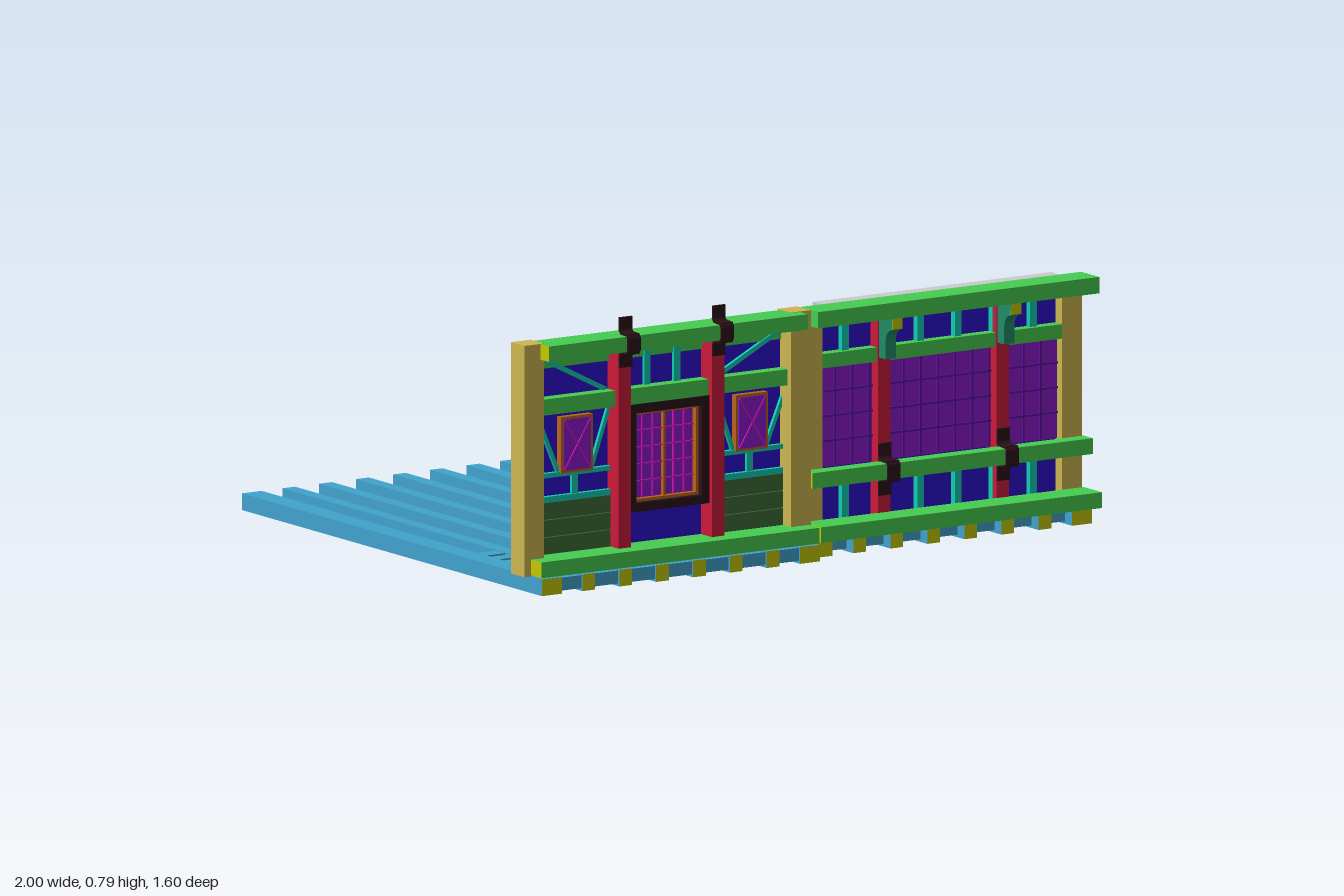
import * as THREE from 'three';
import { RoundedBoxGeometry } from 'three/addons/geometries/RoundedBoxGeometry.js';

const mat = (color) => new THREE.MeshStandardMaterial({ color });
const M = {
  floor: mat(0x41a3cc), end: mat(0xc4c800), green: mat(0x45cc50), tan: mat(0xccb650),
  wall: mat(0x2a0dcc), red: mat(0xcc1a3a), teal: mat(0x10ccb0), brace: mat(0x208c68),
  iron: mat(0x2a1018), pane: mat(0x8a1acc), muntin: mat(0x5c1099), magenta: mat(0xcc10c0),
  orange: mat(0xb8641a), siding: mat(0x3d6b35), grey: mat(0xcccccc),
};
const xEnds = [M.end, M.end, M.green, M.green, M.green, M.green];
const zEnds = [M.floor, M.floor, M.floor, M.floor, M.end, M.end];

export function createModel() {
  const root = new THREE.Group();
  let g = root;

  const section = (name) => {
    g = new THREE.Group();
    g.name = name;
    root.add(g);
  };
  // Box given by its limits on each axis
  const box = (name, m, x0, x1, y0, y1, z0, z1) => {
    const b = new THREE.Mesh(new THREE.BoxGeometry(x1 - x0, y1 - y0, z1 - z0), m);
    b.position.set((x0 + x1) / 2, (y0 + y1) / 2, (z0 + z1) / 2);
    b.name = name;
    g.add(b);
    return b;
  };
  // Slanted bar lying in the wall plane
  const bar = (name, m, xa, ya, xb, yb, w, z0, z1) => {
    const len = Math.hypot(xb - xa, yb - ya);
    const b = new THREE.Mesh(new THREE.BoxGeometry(len, w, z1 - z0), m);
    b.position.set((xa + xb) / 2, (ya + yb) / 2, (z0 + z1) / 2);
    b.rotation.z = Math.atan2(yb - ya, xb - xa);
    b.name = name;
    g.add(b);
  };
  // Iron strap bent along [z, y] points
  const strap = (cx, w, pts) => {
    for (let i = 0; i < pts.length - 1; i++) {
      const [za, ya] = pts[i], [zb, yb] = pts[i + 1];
      const len = Math.hypot(zb - za, yb - ya) + 0.006;
      const b = new THREE.Mesh(new THREE.BoxGeometry(w, 0.006, len), M.iron);
      b.position.set(cx, (ya + yb) / 2, (za + zb) / 2);
      b.rotation.x = -Math.atan2(yb - ya, zb - za);
      b.name = 'ironStrap';
      g.add(b);
    }
  };
  // Rounded bulge on the inner side of a window
  const bulge = (x0, x1, y0, y1, z0, z1) => {
    const b = new THREE.Mesh(new RoundedBoxGeometry(x1 - x0, y1 - y0, z1 - z0, 5, 0.045), M.wall);
    b.position.set((x0 + x1) / 2, (y0 + y1) / 2, (z0 + z1) / 2);
    b.name = 'windowBulge';
    g.add(b);
  };
  // Evenly spaced muntins over a window opening
  const muntins = (m, x0, x1, y0, y1, nx, ny, z, t) => {
    for (let i = 1; i < nx; i++) {
      const x = x0 + ((x1 - x0) * i) / nx;
      box('muntin', m, x - t, x + t, y0, y1, z, z + 0.006);
    }
    for (let j = 1; j < ny; j++) {
      const y = y0 + ((y1 - y0) * j) / ny;
      box('muntin', m, x0, x1, y - t, y + t, z, z + 0.006);
    }
  };

  // Floor: long joists crossed by slats near the walls
  const floorHalf = (name, x0, x1, zFront, zSlat, pitch) => {
    section(name);
    const a = x0 + 0.035, step = (x1 - x0 - 0.07) / 7;
    for (let i = 0; i < 8; i++) {
      const c = a + i * step, w = i % 7 === 0 ? 0.035 : 0.0225;
      box('joist', zEnds, c - w, c + w, 0, 0.05, -0.8, zFront);
    }
    for (let z = zSlat; z < zFront - 0.03; z += pitch)
      box('slat', M.floor, x0 + 0.04, x1 - 0.04, 0.008, 0.047, z, Math.min(z + pitch - 0.022, zFront - 0.006));
  };
  floorHalf('leftFloor', -0.976, 0.003, 0.8, 0.34, 0.069);
  floorHalf('rightFloor', 0.012, 0.995, 0.748, 0.293, 0.0735);

  // Wall with door-like central window, at -x
  section('timberWall');
  const C = -0.482;
  box('wallPanel', M.wall, -0.94, -0.05, 0.06, 0.7, 0.672, 0.684);
  for (const x of [-1, -0.061]) box('cornerPost', M.tan, x, x + 0.07, 0.05, 0.742, 0.67, 0.742);
  box('topBeam', xEnds, -0.942, -0.03, 0.695, 0.741, 0.685, 0.785);
  box('topInnerBeam', M.green, -0.93, -0.06, 0.655, 0.695, 0.648, 0.69);
  box('bottomBeam', xEnds, -0.976, 0.003, 0.053, 0.1, 0.7, 0.797);
  box('bottomInnerBeam', M.green, -0.93, -0.04, 0.05, 0.1, 0.645, 0.7);
  box('middleBeam', M.green, -0.93, -0.06, 0.522, 0.57, 0.648, 0.725);
  for (const x of [-0.535, -0.43]) box('topStud', M.teal, x - 0.011, x + 0.011, 0.57, 0.695, 0.665, 0.695);

  // Central window
  box('windowFrameTop', M.iron, C - 0.142, C + 0.142, 0.495, 0.522, 0.665, 0.73);
  box('windowFrameBottom', M.iron, C - 0.142, C + 0.142, 0.2, 0.226, 0.665, 0.73);
  box('windowPane', M.pane, C - 0.12, C + 0.12, 0.22, 0.5, 0.68, 0.694);
  box('sashTop', M.orange, C - 0.115, C + 0.115, 0.487, 0.496, 0.69, 0.712);
  box('sashBottom', M.orange, C - 0.115, C + 0.115, 0.226, 0.235, 0.69, 0.712);
  box('sashMiddle', M.orange, C - 0.004, C + 0.004, 0.23, 0.49, 0.69, 0.705);
  muntins(M.magenta, C - 0.11, C + 0.11, 0.235, 0.487, 6, 5, 0.694, 0.002);
  bulge(C - 0.103, C + 0.103, 0.215, 0.5, 0.58, 0.678);

  for (const s of [-1, 1]) {
    const X = (d) => C + s * d;
    const side = (name, m, d0, d1, ...r) => box(name, m, Math.min(X(d0), X(d1)), Math.max(X(d0), X(d1)), ...r);
    side('windowFrameSide', M.iron, 0.115, 0.142, 0.2, 0.522, 0.665, 0.73);
    side('sashSide', M.orange, 0.106, 0.115, 0.226, 0.496, 0.69, 0.712);
    // Red post and the strap over the top beam
    side('redPost', M.red, 0.142, 0.186, 0.1, 0.7, 0.645, 0.743);
    strap(X(0.164), 0.044, [[0.746, 0.79], [0.746, 0.755], [0.752, 0.746], [0.785, 0.744], [0.791, 0.735],
      [0.791, 0.7], [0.785, 0.69], [0.755, 0.688], [0.746, 0.675], [0.746, 0.645]]);
    // Braces around the small side window
    bar('topBrace', M.teal, X(0.44), 0.695, X(0.2), 0.572, 0.014, 0.675, 0.695);
    bar('sideBrace', M.teal, X(0.44), 0.515, X(0.365), 0.34, 0.012, 0.675, 0.695);
    bar('sideBrace', M.teal, X(0.188), 0.515, X(0.25), 0.34, 0.012, 0.675, 0.695);
    side('sill', M.teal, 0.186, 0.45, 0.328, 0.342, 0.668, 0.7);
    side('lowerStud', M.teal, 0.297, 0.319, 0.27, 0.33, 0.668, 0.695);
    side('rail', M.teal, 0.186, 0.45, 0.254, 0.272, 0.668, 0.7);
    side('smallFrame', M.orange, 0.252, 0.364, 0.337, 0.506, 0.675, 0.705);
    side('smallPane', M.pane, 0.26, 0.356, 0.345, 0.498, 0.69, 0.708);
    for (const k of [-1, 1])
      bar('lattice', M.magenta, X(0.262), 0.4215 - k * 0.074, X(0.354), 0.4215 + k * 0.074, 0.004, 0.708, 0.712);
    bulge(X(0.308) - 0.05, X(0.308) + 0.05, 0.33, 0.505, 0.58, 0.678);
    // Overlapping boards under the rail
    for (let i = 0; i < 3; i++) {
      const y = 0.1 + i * 0.052;
      side('sidingFront', M.siding, 0.186, 0.45, y, y + 0.05, 0.684, 0.7);
    }
  }
  for (let i = 0; i < 3; i++)
    box('sidingBack', M.grey, -0.93, -0.06, 0.1 + i * 0.052, 0.15 + i * 0.052, 0.658, 0.673);

  // Wall with one wide window, at +x
  section('wideWindowWall');
  box('wallPanel', M.wall, 0.07, 0.935, 0.06, 0.7, 0.65, 0.66);
  for (const x of [0.012, 0.925]) box('cornerPost', M.tan, x, x + 0.07, 0.05, 0.692, 0.627, 0.695);
  box('topBeam', M.green, 0.01, 1, 0.693, 0.742, 0.684, 0.78);
  box('ledge', M.grey, 0.083, 0.925, 0.693, 0.742, 0.638, 0.684);
  box('upperRail', M.green, 0.082, 0.925, 0.552, 0.595, 0.635, 0.695);
  box('lowerRail', xEnds, 0.012, 1, 0.207, 0.254, 0.697, 0.747);
  box('lowerInnerRail', M.green, 0.082, 0.925, 0.207, 0.235, 0.635, 0.697);
  box('bottomBeam', xEnds, 0.01, 1, 0.053, 0.1, 0.697, 0.795);
  box('bottomInnerBeam', M.green, 0.082, 0.925, 0.05, 0.085, 0.635, 0.697);
  for (let i = 0; i < 6; i++) {
    const x = 0.172 + i * 0.1325;
    box('upperStud', M.teal, x - 0.012, x + 0.012, 0.595, 0.693, 0.638, 0.68);
    box('lowerStud', M.teal, x - 0.012, x + 0.012, 0.085, 0.21, 0.638, 0.68);
  }
  box('widePane', M.pane, 0.078, 0.925, 0.25, 0.555, 0.655, 0.668);
  muntins(M.muntin, 0.08, 0.925, 0.254, 0.552, 14, 4, 0.668, 0.003);
  bulge(0.083, 0.272, 0.235, 0.542, 0.557, 0.655);
  bulge(0.32, 0.69, 0.235, 0.542, 0.557, 0.655);
  bulge(0.735, 0.923, 0.235, 0.542, 0.557, 0.655);

  // Curved brace profile in [z, y]
  const prof = new THREE.Shape();
  prof.moveTo(0.698, 0.565);
  prof.lineTo(0.735, 0.565);
  prof.lineTo(0.735, 0.62);
  prof.quadraticCurveTo(0.738, 0.65, 0.77, 0.658);
  prof.lineTo(0.77, 0.693);
  prof.lineTo(0.698, 0.693);
  prof.closePath();
  const braceGeo = new THREE.ExtrudeGeometry(prof, { depth: 0.036, bevelEnabled: false, curveSegments: 8 });
  for (const x of [0.295, 0.713]) {
    box('redPost', M.red, x - 0.022, x + 0.022, 0.09, 0.71, 0.626, 0.7);
    const brace = new THREE.Mesh(braceGeo, M.brace);
    brace.rotation.y = -Math.PI / 2;
    brace.position.x = x + 0.018;
    brace.name = 'curvedBrace';
    g.add(brace);
    box('braceEnd', M.end, x - 0.018, x + 0.018, 0.659, 0.692, 0.769, 0.772);
    strap(x, 0.044, [[0.703, 0.305], [0.703, 0.27], [0.71, 0.26], [0.745, 0.258], [0.751, 0.25],
      [0.751, 0.21], [0.745, 0.202], [0.71, 0.2], [0.703, 0.19], [0.703, 0.155]]);
  }
  return root;
}
